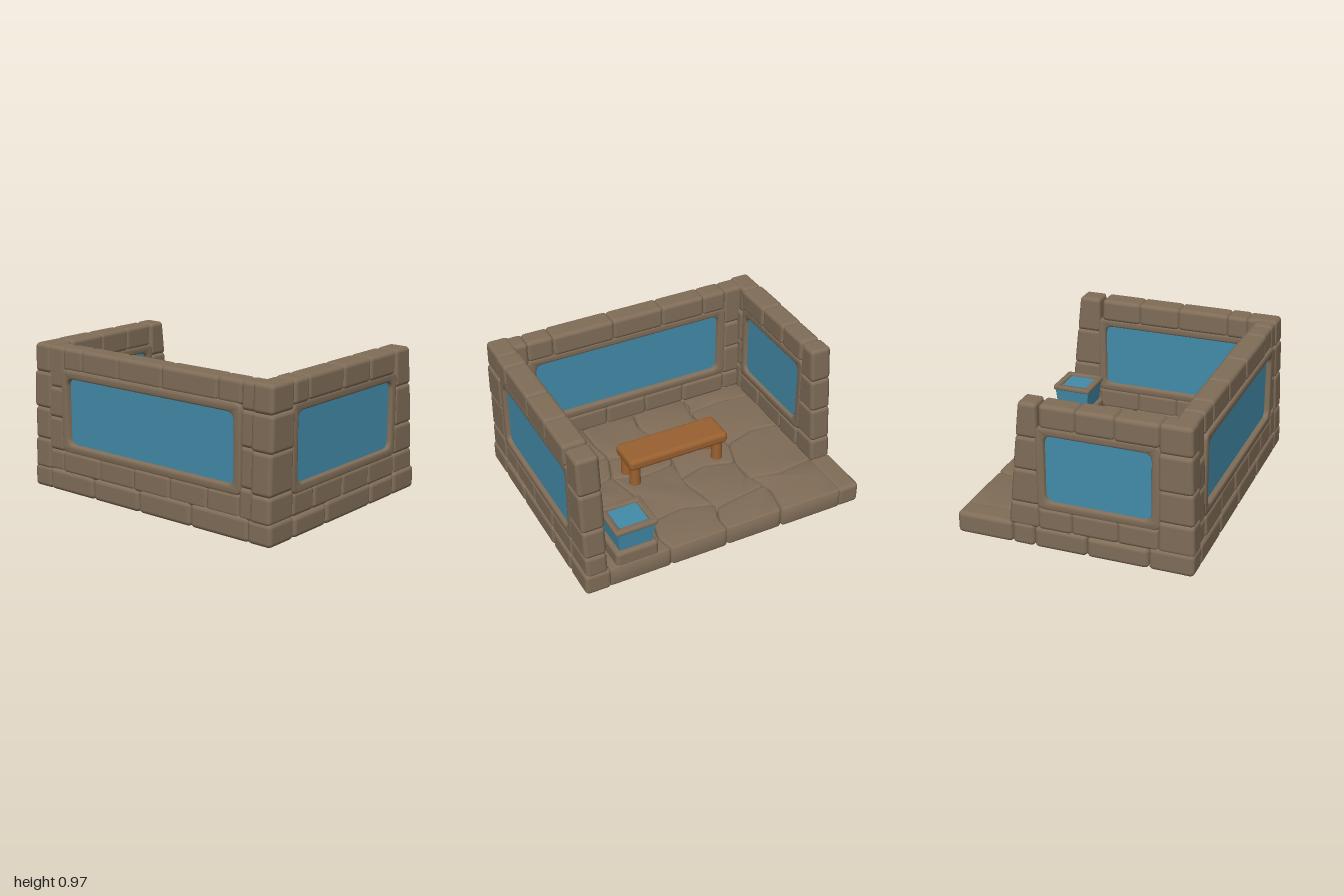
import * as THREE from 'three';
import { toCreasedNormals } from 'three/addons/utils/BufferGeometryUtils.js';
import { RoundedBoxGeometry } from 'three/addons/geometries/RoundedBoxGeometry.js';

const material = (name, color) => {
  const m = new THREE.MeshStandardMaterial({ color });
  m.name = name;
  return m;
};

export function createModel() {
  const stone = material('brown stone', 0x806d58);
  const glass = material('blue glass', 0x438ba9);
  const wood = material('orange wood', 0x99602f);

  const model = new THREE.Group();
  model.name = 'stoneShelter';

  let seed = 7;
  const jitter = (amount) => {
    seed = (seed * 16807) % 2147483647;
    return (seed / 2147483647 - 0.5) * 2 * amount;
  };

  const group = (name) => {
    const g = new THREE.Group();
    g.name = name;
    model.add(g);
    return g;
  };

  // Rounded box given by its limits on each axis, optionally bent by a rule
  function block(parent, name, mat, [x0, x1], [y0, y1], [z0, z1], radius = 0.03, bend = null) {
    const geo = new RoundedBoxGeometry(x1 - x0, y1 - y0, z1 - z0, 3, radius);
    geo.translate((x0 + x1) / 2, (y0 + y1) / 2, (z0 + z1) / 2);
    if (bend) {
      const p = geo.attributes.position;
      const v = new THREE.Vector3();
      for (let i = 0; i < p.count; i++) {
        bend(v.fromBufferAttribute(p, i));
        p.setXYZ(i, v.x, v.y, v.z);
      }
    }
    const mesh = new THREE.Mesh(geo, mat);
    mesh.name = name;
    parent.add(mesh);
  }

  // Closed outline with its corners rounded
  function roundedOutline(points, r, Type = THREE.Shape) {
    const outline = new Type();
    const pts = points.map(([x, y]) => new THREE.Vector2(x, y));
    const toward = (a, b) => a.clone().lerp(b, Math.min(0.45, r / a.distanceTo(b)));
    pts.forEach((p, i) => {
      const a = toward(p, pts[(i + pts.length - 1) % pts.length]);
      const b = toward(p, pts[(i + 1) % pts.length]);
      if (i) outline.lineTo(a.x, a.y);
      else outline.moveTo(a.x, a.y);
      outline.quadraticCurveTo(p.x, p.y, b.x, b.y);
    });
    outline.closePath();
    return outline;
  }

  const rect = (x0, x1, y0, y1) => [[x0, y0], [x1, y0], [x1, y1], [x0, y1]];

  function bevelled(shape, depth, bevel) {
    return toCreasedNormals(new THREE.ExtrudeGeometry(shape, {
      depth: depth - 2 * bevel, bevelEnabled: true, bevelThickness: bevel,
      bevelSize: bevel, bevelOffset: -bevel, bevelSegments: 3, curveSegments: 4,
    }), 0.8);
  }

  // Floor: filler slab with irregular paving stones through it
  const floor = group('floor');
  block(floor, 'floorCore', stone, [-0.76, 0.75], [0.03, 0.125], [-0.96, 0.96], 0.02);
  // Inner joints wander, the outside edges stay straight
  const wander = ([x, z]) => {
    const inside = x > -0.6 && x < 0.76 && Math.abs(z) < 0.8 ? 0.04 : 0;
    return [x + inside * Math.sin(11 * z + 4 * x), z + inside * Math.sin(10 * x + 3 * z)];
  };
  const pavingRows = [
    { z: [-0.86, -0.4], stops: [-0.62, -0.45, -0.04, 0.4, 0.78] },
    { z: [-0.4, 0], stops: [-0.62, -0.2, 0.17, 0.53, 0.78] },
    { z: [0, 0.4], stops: [-0.62, -0.21, 0.02, 0.49, 0.785] },
    { z: [0.4, 0.84], stops: [-0.62, -0.23, 0, 0.46, 0.785] },
  ];
  for (const { z, stops } of pavingRows) {
    for (let i = 1; i < stops.length; i++) {
      const corners = rect(stops[i - 1], stops[i], z[0], z[1]);
      const outline = corners.flatMap(([x, y], k) => {
        const [nx, ny] = corners[(k + 1) % 4];
        return [wander([x, y]), wander([(x + nx) / 2, (y + ny) / 2])];
      });
      const geo = bevelled(roundedOutline(outline, 0.035), 0.14, 0.018);
      geo.rotateX(Math.PI / 2);
      geo.translate(0, 0.132 + jitter(0.003), 0);
      const slab = new THREE.Mesh(geo, stone);
      slab.name = 'pavingStone';
      floor.add(slab);
    }
  }

  // Foundation course around the front, left and back
  const course = (stops, make) => stops.slice(1).forEach((end, i) => make([stops[i], end]));
  course([-0.79, -0.55, -0.22, 0.27, 0.54, 0.79], (x) =>
    block(floor, 'frontFooting', stone, x, [0.005, 0.15 + jitter(0.01)], [0.82, 0.997]));
  course([-0.79, -0.5, -0.1, 0.25, 0.4, 0.78], (x) =>
    block(floor, 'backFooting', stone, x, [0.005, 0.15 + jitter(0.01)], [-0.997, -0.84]));
  course([-0.85, -0.45, -0.05, 0.38, 0.83], (z) =>
    block(floor, 'leftFooting', stone, [-0.79, -0.6], [0.005, 0.15 + jitter(0.01)], z));

  // Wall in its own frame: x along the wall, +z to the outside or inside
  function wall(name, { thick, blocks, frame, bend }) {
    const g = group(name);
    for (const [x0, x1, y0, y1] of blocks) {
      const half = thick / 2 + jitter(0.006);
      block(g, 'wallStone', stone, [x0 - 0.004, x1 + 0.004], [y0 - 0.004, y1 + 0.004],
        [-half, half], 0.028, bend);
    }
    const [x0, x1, y0, y1] = frame;
    const rim = 0.048;
    const shape = roundedOutline(rect(x0 - 0.01, x1 + 0.01, y0 - 0.01, y1 + 0.01), 0.05);
    shape.holes.push(roundedOutline(
      rect(x0 + rim, x1 - rim, y0 + rim, y1 - rim), 0.05, THREE.Path));
    const geo = bevelled(shape, thick - 0.01, 0.014);
    geo.translate(0, 0, -(thick - 0.01) / 2 + 0.014);
    const rimMesh = new THREE.Mesh(geo, stone);
    rimMesh.name = 'windowFrame';
    g.add(rimMesh);
    block(g, 'windowPane', glass, [x0 + 0.02, x1 - 0.02], [y0 + 0.02, y1 - 0.02],
      [-0.045, 0.045], 0.01);
    return g;
  }

  // Stones stacked in a column, or laid in a row
  const column = (x0, x1, stops) => stops.slice(1).map((y, i) => [x0, x1, stops[i], y]);
  const row = (y0, y1, stops) => stops.slice(1).map((x, i) => [stops[i], x, y0, y1]);
  // Ends lean inwards with height
  const lean = (inner, outer) => (v) => {
    const h = Math.max(0, v.y - 0.15);
    v.x -= 0.105 * h * THREE.MathUtils.clamp((v.x - inner) / (outer - inner), 0, 1);
    v.x += 0.035 * h * THREE.MathUtils.clamp((-0.55 - v.x) / 0.23, 0, 1);
  };

  const front = wall('frontWall', {
    thick: 0.155, frame: [-0.55, 0.55, 0.285, 0.825], bend: lean(0.55, 0.78),
    blocks: [
      ...column(-0.785, -0.55, [0.14, 0.31, 0.57, 0.8, 0.975]),
      ...row(0.14, 0.285, [-0.55, -0.34, -0.04, 0.25, 0.55]),
      ...row(0.825, 0.975, [-0.55, -0.41, -0.05, 0.24, 0.52]),
      ...column(0.55, 0.78, [0.14, 0.28, 0.47, 0.73, 0.975]),
    ],
  });
  front.position.z = 0.912;

  const back = wall('backWall', {
    thick: 0.15, frame: [-0.56, 0.22, 0.285, 0.825], bend: lean(0.22, 0.42),
    blocks: [
      ...column(-0.785, -0.56, [0.14, 0.34, 0.55, 0.79, 0.975]),
      ...row(0.14, 0.285, [-0.56, -0.3, 0, 0.22]),
      ...row(0.825, 0.975, [-0.56, -0.28, -0.03, 0.2]),
      ...column(0.22, 0.42, [0.14, 0.3, 0.53, 0.75, 0.975]),
    ],
  });
  back.position.z = -0.917;

  const left = wall('leftWall', {
    thick: 0.17, frame: [-0.73, 0.75, 0.285, 0.825],
    bend: (v) => { if (v.z > 0) v.z -= 0.03 * Math.max(0, v.y - 0.15); },
    blocks: [
      ...column(-0.87, -0.73, [0.14, 0.28, 0.5, 0.7, 0.97]),
      ...row(0.14, 0.285, [-0.73, -0.4, -0.1, 0.2, 0.5, 0.75]),
      ...row(0.825, 0.97, [-0.73, -0.56, -0.24, 0.13, 0.57, 0.75]),
      ...column(0.75, 0.87, [0.14, 0.33, 0.58, 0.8, 0.97]),
    ],
  });
  left.rotation.y = -Math.PI / 2;
  left.position.x = -0.692;

  // Bench
  const bench = group('bench');
  block(bench, 'benchSeat', wood, [-0.1, 0.14], [0.285, 0.367], [-0.355, 0.378], 0.03);
  for (const z of [-0.295, 0.322]) {
    for (const x of [-0.045, 0.085]) {
      const leg = new THREE.Mesh(new THREE.CylinderGeometry(0.034, 0.04, 0.17, 14), wood);
      leg.name = 'benchLeg';
      leg.position.set(x, 0.222, z);
      bench.add(leg);
    }
  }

  // Glass box on a stone plinth, with a stone rim round its top
  const box = group('glassBox');
  box.position.set(0.635, 0, 0.635);
  block(box, 'plinth', stone, [-0.14, 0.14], [0.13, 0.245], [-0.145, 0.145], 0.025);
  const body = new THREE.Mesh(
    new THREE.CylinderGeometry(0.18, 0.158, 0.16, 4, 1).rotateY(Math.PI / 4).toNonIndexed(), glass);
  body.geometry.computeVertexNormals();
  body.name = 'glassBody';
  body.position.y = 0.315;
  box.add(body);
  const rimShape = roundedOutline(rect(-0.137, 0.137, -0.143, 0.143), 0.015);
  rimShape.holes.push(roundedOutline(rect(-0.094, 0.094, -0.102, 0.102), 0.008, THREE.Path));
  const rim = new THREE.Mesh(bevelled(rimShape, 0.03, 0.006), stone);
  rim.name = 'boxRim';
  rim.rotation.x = Math.PI / 2;
  rim.position.y = 0.405;
  box.add(rim);

  return model;
}
